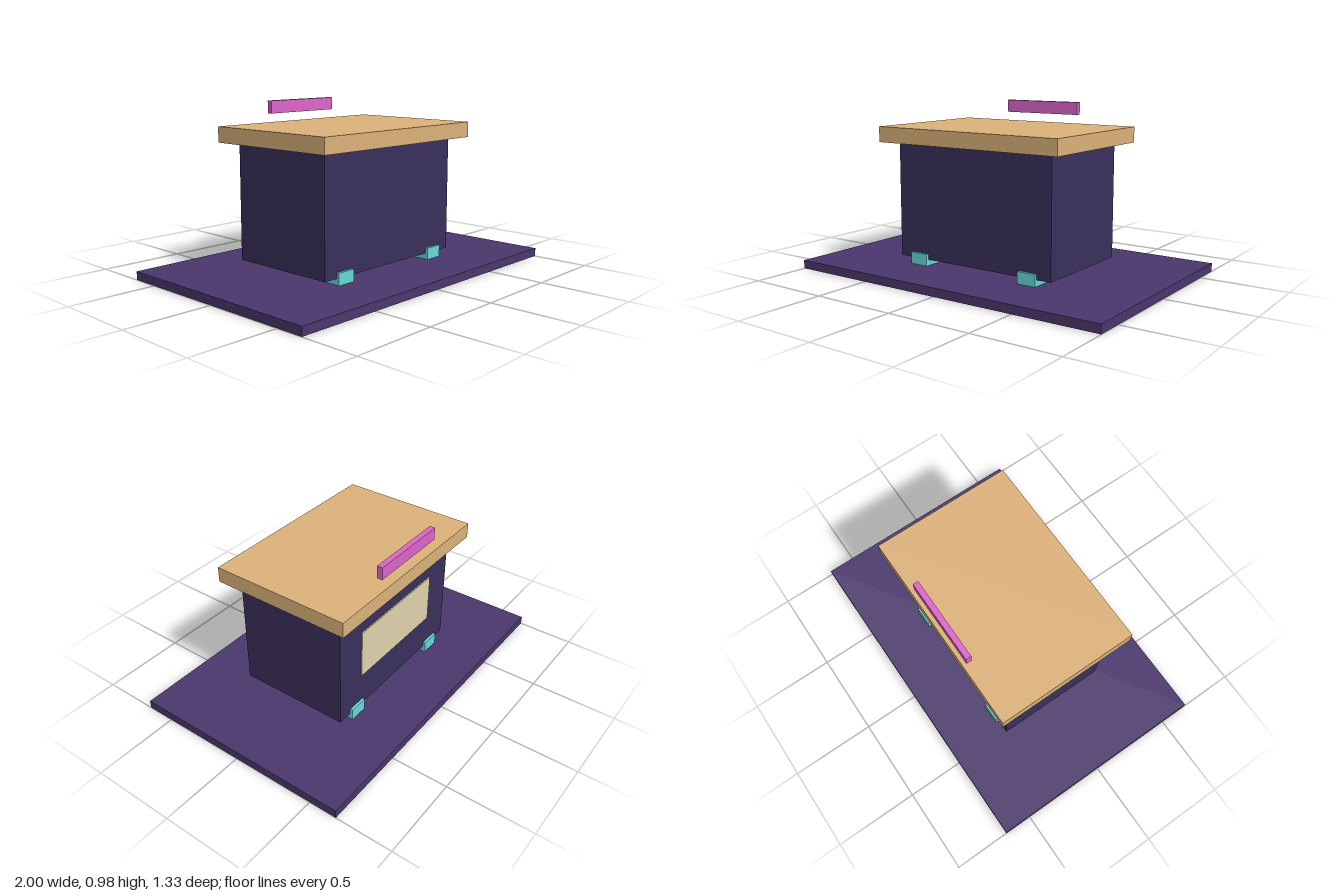
import * as THREE from 'three';

export function createModel() {
  const group = new THREE.Group();
  const paint = (color) => new THREE.MeshStandardMaterial({ color });

  // Box given by its size, centre x and z, and bottom and top heights
  function box(name, material, width, depth, bottom, top, x = 0, z = 0) {
    const mesh = new THREE.Mesh(new THREE.BoxGeometry(width, top - bottom, depth), material);
    mesh.position.set(x, (bottom + top) / 2, z);
    mesh.name = name;
    group.add(mesh);
  }

  // Ground slab, floating body and overhanging flat roof
  box('base', paint(0x4b376d), 2, 1.333, 0.001, 0.05);
  box('body', paint(0x3a2f5c), 1.04, 0.667, 0.085, 0.75);
  box('roof', paint(0xdcb27a), 1.204, 0.833, 0.757, 0.847);

  // Pale panel on the back wall and the bar above the back roof edge
  box('backPanel', paint(0xe0d3ab), 0.667, 0.014, 0.295, 0.587, 0, -0.333);
  box('signBar', paint(0xdd66cc), 0.5, 0.033, 0.902, 0.976, 0, -0.383);

  // Feet run through the slab; the front left one stops just inside it
  const footPaint = paint(0x66d9d9);
  for (const [sideName, x] of [['Left', 0.374], ['Right', -0.374]]) {
    for (const [endName, z] of [['front', 0.292], ['back', -0.292]]) {
      const bottom = x > 0 && z > 0 ? 0.002 : 0;
      box(`${endName}${sideName}Foot`, footPaint, 0.115, 0.115, bottom, 0.118, x, z);
    }
  }

  return group;
}
